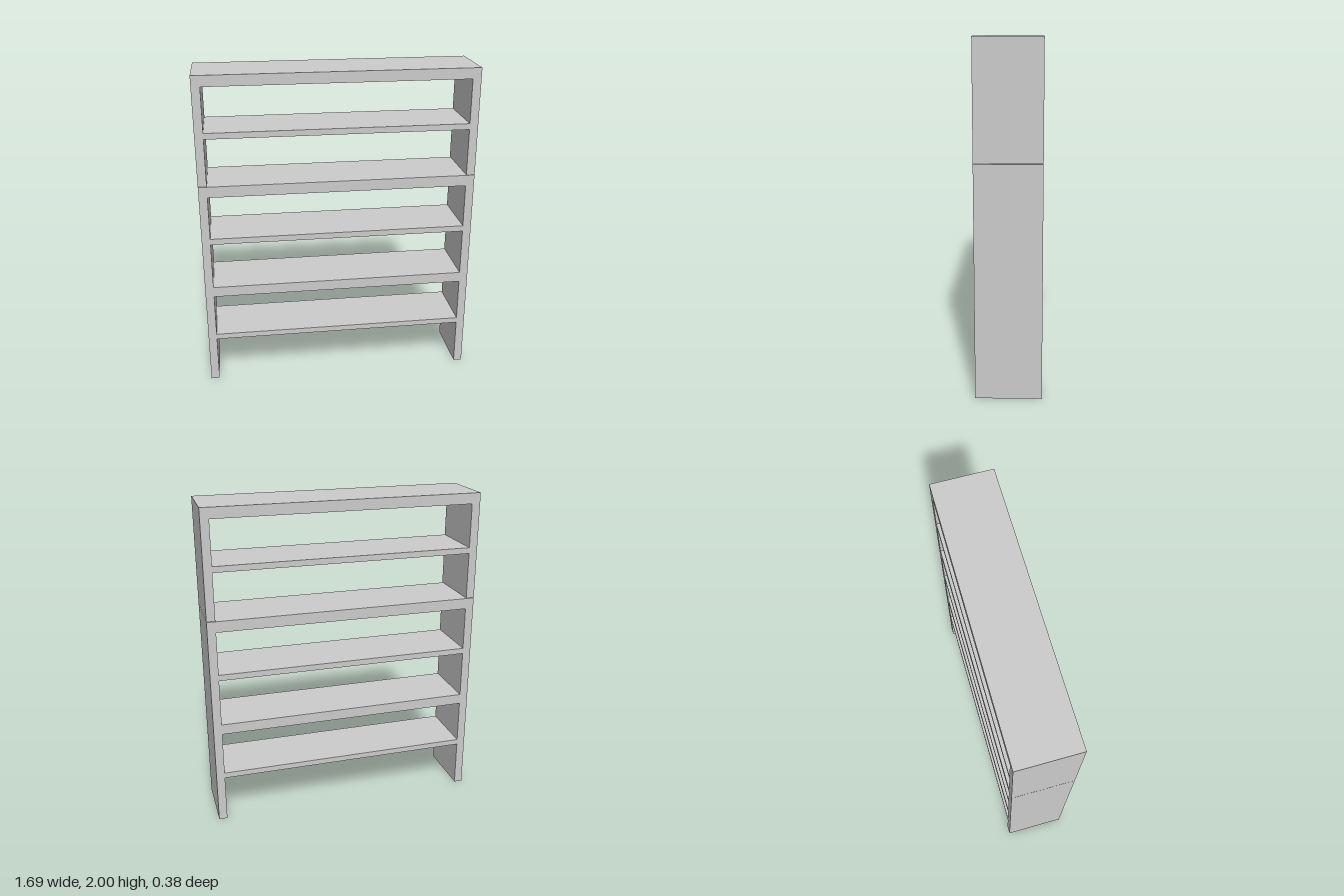
import * as THREE from 'three';

const HALF_W = 0.845, INNER = 0.793, DEPTH = 0.375;

// One shelving unit: two side panels joined by boards, open below the lowest board.
// boards: [bottom, top] heights from low to high; the last one closes the top.
function shelfUnit(name, base, boards, material) {
  const top = boards[boards.length - 1][1];
  const under = boards[0][0];
  const shape = new THREE.Shape([
    [-HALF_W, base], [-INNER, base], [-INNER, under], [INNER, under],
    [INNER, base], [HALF_W, base], [HALF_W, top], [-HALF_W, top],
  ].map(([x, y]) => new THREE.Vector2(x, y)));

  // Openings between neighbouring boards
  for (let i = 0; i < boards.length - 1; i++) {
    const y0 = boards[i][1], y1 = boards[i + 1][0];
    shape.holes.push(new THREE.Path([
      new THREE.Vector2(-INNER, y0), new THREE.Vector2(-INNER, y1),
      new THREE.Vector2(INNER, y1), new THREE.Vector2(INNER, y0),
    ]));
  }

  const geometry = new THREE.ExtrudeGeometry(shape, { depth: DEPTH, bevelEnabled: false });
  geometry.translate(0, 0, -DEPTH / 2);
  const mesh = new THREE.Mesh(geometry, material);
  mesh.name = name;
  return mesh;
}

export function createModel() {
  const group = new THREE.Group();
  group.name = 'bookshelf';
  const material = new THREE.MeshStandardMaterial({ color: 0xcccccc });

  // Tall lower unit with alternating thin and thick boards
  group.add(shelfUnit('lowerShelfUnit', 0,
    [[0.295, 0.33], [0.602, 0.667], [0.96, 0.997], [1.267, 1.335]], material));

  // Short upper unit stacked on top, with a fine seam between
  group.add(shelfUnit('upperShelfUnit', 1.338,
    [[1.627, 1.664], [1.934, 2]], material));

  return group;
}
